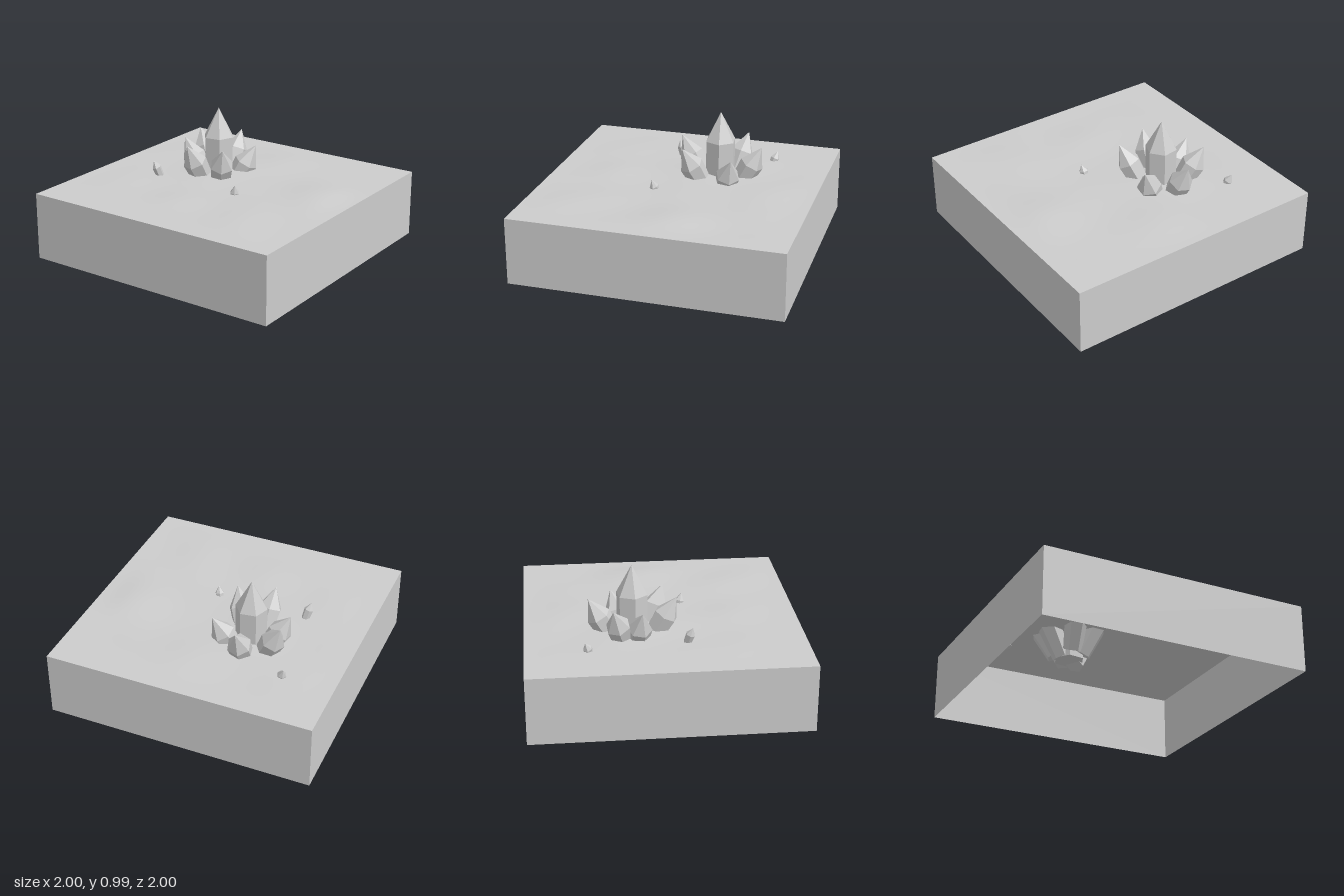
import * as THREE from 'three';

const UP = new THREE.Vector3(0, 1, 0);
const TOP = 0.5;

// Low mounds on the ground: x, z, spread, height
const MOUNDS = [
  [0.1, 0.7, 0.25, 0.022], [-0.6, 0.5, 0.24, 0.012], [0.68, 0.1, 0.22, 0.012],
  [0.18, -0.22, 0.25, 0.016], [-0.55, -0.1, 0.2, 0.01], [0.5, -0.72, 0.2, 0.006],
  [-0.5, -0.7, 0.2, 0.006],
];

function groundHeight(x, z) {
  let h = 0;
  for (const [mx, mz, s, a] of MOUNDS) {
    h += a * Math.exp(-((x - mx) ** 2 + (z - mz) ** 2) / (s * s));
  }
  h += 0.002 * Math.sin(9 * x + 4 * z) * Math.sin(8 * z - 3 * x);
  // Fade to a level rim
  const fade = (v) => Math.min(1, (1 - Math.abs(v)) / 0.2);
  return TOP + h * fade(x) * fade(z);
}

export function createModel() {
  const model = new THREE.Group();
  model.name = 'crystalGround';

  const stone = new THREE.MeshStandardMaterial({ color: 0xcccccc });
  stone.name = 'grey stone';
  stone.side = THREE.DoubleSide;
  const facet = new THREE.MeshStandardMaterial({ color: 0xcccccc, flatShading: true });
  facet.name = 'grey crystal';

  const add = (name, geometry, material, parent = model) => {
    const mesh = new THREE.Mesh(geometry, material);
    mesh.name = name;
    parent.add(mesh);
    return mesh;
  };

  // Ground surface, smooth and gently uneven
  const ground = new THREE.PlaneGeometry(2, 2, 32, 32).rotateX(-Math.PI / 2);
  const p = ground.attributes.position;
  for (let i = 0; i < p.count; i++) p.setY(i, groundHeight(p.getX(i), p.getZ(i)));
  ground.computeVertexNormals();
  add('groundSurface', ground, stone);

  // Four side walls, open underneath
  const walls = new THREE.Group();
  walls.name = 'sideWalls';
  model.add(walls);
  for (let i = 0; i < 4; i++) {
    const wall = new THREE.PlaneGeometry(2, TOP).translate(0, TOP / 2, 1).rotateY(i * Math.PI / 2);
    add('wall', wall, stone, walls);
  }

  // Six-sided crystal, placed by its tip and the direction it leans in
  function crystal(name, tip, lean, length, radius, baseRadius, point, turn, parent) {
    const profile = [[0, 0], [baseRadius, 0], [radius, length - point], [0, length]]
      .map(([x, y]) => new THREE.Vector2(x, y));
    const mesh = add(name, new THREE.LatheGeometry(profile, 6, turn), facet, parent);
    const axis = lean.clone().normalize();
    mesh.quaternion.setFromUnitVectors(UP, axis);
    mesh.position.set(...tip).addScaledVector(axis, -length);
  }

  // Main cluster: an upright crystal ringed by six leaning outward
  const cluster = new THREE.Group();
  cluster.name = 'crystalCluster';
  model.add(cluster);
  const cx = 0.22, cz = -0.245;
  crystal('centreCrystal', [cx, 0.985, cz], UP, 0.675, 0.117, 0.115, 0.22, 0.14, cluster);

  const ringTips = [
    [0.165, 0.72, -0.525], [0.37, 0.745, -0.525], [0.535, 0.735, -0.25],
    [0.36, 0.695, 0.0], [-0.02, 0.74, -0.04], [-0.095, 0.75, -0.31],
  ];
  ringTips.forEach((tip, i) => {
    const out = new THREE.Vector3(tip[0] - cx, 0, tip[2] - cz).normalize();
    const lean = out.multiplyScalar(0.55).add(UP);
    crystal('outerCrystal', tip, lean, 0.45, 0.09, 0.07, 0.155, 0.4 + i * 0.7, cluster);
  });

  // Small stray crystals: tip, lean, length
  const strays = [
    [[-0.185, 0.565, 0.185], [-0.25, 1, 0.2], 0.1],
    [[-0.185, 0.615, -0.555], [-0.3, 1, -0.25], 0.15],
    [[0.575, 0.57, -0.63], [0.35, 1, -0.3], 0.1],
  ];
  strays.forEach(([tip, lean, length], i) => {
    crystal('smallCrystal', tip, new THREE.Vector3(...lean), length, 0.034, 0.028, 0.055, i, model);
  });

  return model;
}
